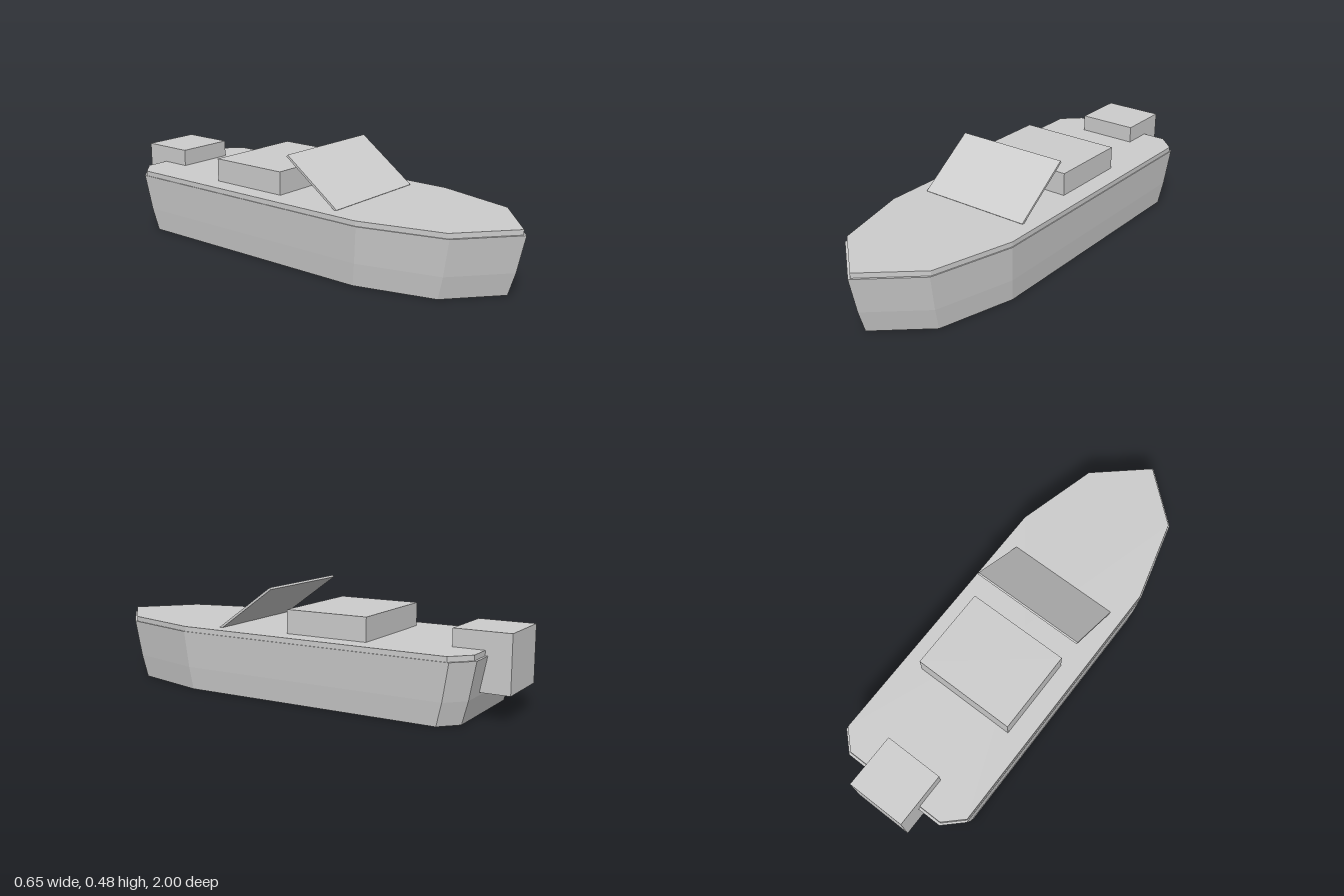
import * as THREE from 'three';

// Half deck outline from bow to stern, as [x, z]
const HALF = [[0, 1], [0.228, 0.8], [0.327, 0.43], [0.327, -0.825], [0.245, -0.903]];
const OUTLINE = [...HALF, ...HALF.slice(1).reverse().map(([x, z]) => [-x, z])];

// Stacks scaled copies of the outline, given as [height, scale], into a closed solid
function loftOutline(levels) {
  const positions = [];
  const rings = levels.map(([y, s]) => OUTLINE.map(([x, z]) => [x * s, y, z * s]));
  const triangle = (a, b, c) => positions.push(...a, ...b, ...c);
  const n = OUTLINE.length;
  const last = rings.length - 1;
  for (let i = 0; i < n; i++) {
    const j = (i + 1) % n;
    for (let k = 0; k < last; k++) {
      const low = rings[k], high = rings[k + 1];
      triangle(low[i], low[j], high[j]);
      triangle(low[i], high[j], high[i]);
    }
    triangle([0, levels[0][0], 0], rings[0][j], rings[0][i]);
    triangle([0, levels[last][0], 0], rings[last][i], rings[last][j]);
  }
  const geometry = new THREE.BufferGeometry();
  geometry.setAttribute('position', new THREE.Float32BufferAttribute(positions, 3));
  geometry.computeVertexNormals();
  return geometry;
}

export function createModel() {
  const boat = new THREE.Group();
  boat.name = 'boat';
  const grey = new THREE.MeshStandardMaterial({ color: 0xcccccc });
  grey.name = 'light grey';

  const add = (name, geometry, x = 0, y = 0, z = 0) => {
    const mesh = new THREE.Mesh(geometry, grey);
    mesh.name = name;
    mesh.position.set(x, y, z);
    boat.add(mesh);
    return mesh;
  };

  // Hull flares gently towards the top; the deck sits slightly inset
  add('hull', loftOutline([[0, 0.932], [0.1, 0.964], [0.26, 1]]));
  add('deck', loftOutline([[0.26, 0.988], [0.282, 0.988]]));

  // Seat block and outboard motor
  add('seat', new THREE.BoxGeometry(0.47, 0.105, 0.377), 0, 0.3325, -0.238);
  add('motor', new THREE.BoxGeometry(0.27, 0.244, 0.245), 0, 0.235, -0.8775);

  // Windshield leans back from the deck
  const base = new THREE.Vector2(0.279, 0.28);
  const tip = new THREE.Vector2(0.016, 0.471);
  const windshield = add('windshield',
    new THREE.BoxGeometry(0.524, 0.01, base.distanceTo(tip)),
    0, (base.y + tip.y) / 2, (base.x + tip.x) / 2);
  windshield.rotation.x = Math.atan2(tip.y - base.y, base.x - tip.x);

  return boat;
}
